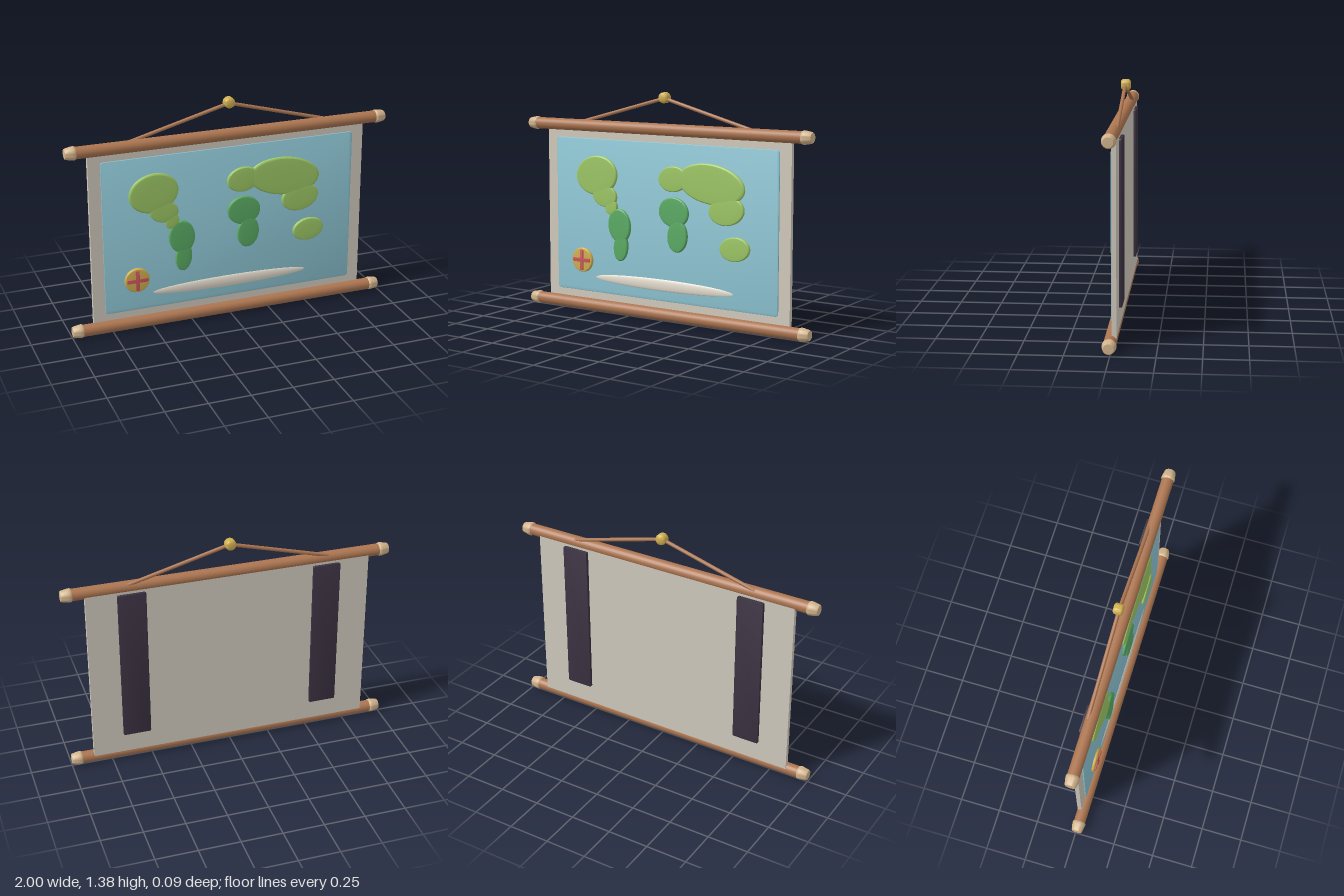
import * as THREE from 'three';
import { toCreasedNormals } from 'three/addons/utils/BufferGeometryUtils.js';

const paint = (name, color) => Object.assign(new THREE.MeshStandardMaterial({ color }), { name });

export function createModel() {
  const wood = paint('brown wood', 0xac7550);
  const pale = paint('pale wood', 0xd2b48c);
  const paper = paint('paper', 0xd0c9bc);
  const sea = paint('sea blue', 0x8cc4d2);
  const lime = paint('light green', 0x9cc765);
  const green = paint('deep green', 0x5bab64);
  const gold = paint('gold', 0xd1b050);
  const red = paint('red', 0xc9565a);
  const dark = paint('dark strap', 0x3a3140);
  const cream = paint('cream', 0xe6ded0);

  const model = new THREE.Group();
  model.name = 'wallMap';
  const add = (name, geometry, material, x = 0, y = 0, z = 0) => {
    const mesh = new THREE.Mesh(geometry, material);
    mesh.name = name;
    mesh.position.set(x, y, z);
    model.add(mesh);
    return mesh;
  };

  // Rounded plate with a small bevel, spanning 0..d in z
  const plate = (w, h, d, r, bevel) => {
    const a = w / 2 - bevel, b = h / 2 - bevel;
    const s = new THREE.Shape();
    s.moveTo(-a + r, -b).lineTo(a - r, -b).quadraticCurveTo(a, -b, a, -b + r);
    s.lineTo(a, b - r).quadraticCurveTo(a, b, a - r, b);
    s.lineTo(-a + r, b).quadraticCurveTo(-a, b, -a, b - r);
    s.lineTo(-a, -b + r).quadraticCurveTo(-a, -b, -a + r, -b);
    const g = new THREE.ExtrudeGeometry(s, {
      depth: d - 2 * bevel, bevelSize: bevel, bevelThickness: bevel, bevelSegments: 2, curveSegments: 6,
    });
    return toCreasedNormals(g.translate(0, 0, bevel), 0.6);
  };

  // Backing sheet, sea panel and rear straps
  add('sheet', new THREE.BoxGeometry(1.73, 1.12, 0.026), paper, 0, 0.604, -0.013);
  add('seaPanel', plate(1.584, 0.962, 0.01, 0.018, 0.003), sea, 0, 0.604, 0);
  for (const s of [-1, 1]) add('rearStrap', plate(0.17, 0.955, 0.019, 0.006, 0.004), dark, s * 0.595, 0.658, -0.044);

  // Rods with tapered end caps
  const capProfile = [[0, -0.004], [0.034, -0.004], [0.039, 0], [0.041, 0.006], [0.04, 0.018], [0.033, 0.055], [0.029, 0.061], [0, 0.062]]
    .map(([r, y]) => new THREE.Vector2(r, y));
  const cap = toCreasedNormals(new THREE.LatheGeometry(capProfile, 28), 0.7);
  const rod = new THREE.CylinderGeometry(0.036, 0.036, 1.88, 28).rotateZ(Math.PI / 2);
  for (const y of [0.041, 1.164]) {
    add('rod', rod, wood, 0, y, 0.007);
    for (const s of [-1, 1]) add('endCap', cap, pale, s * 0.938, y, 0.007).rotation.z = -s * Math.PI / 2;
  }

  // Land masses: gently domed discs [x, y, rx, ry, tilt, material]
  const discProfile = [[1, 0], [1, 0.6], [0.98, 0.78], [0.93, 0.9], [0.8, 0.96], [0.4, 0.99], [0, 1]]
    .map(([r, y]) => new THREE.Vector2(r, y));
  const disc = toCreasedNormals(new THREE.LatheGeometry(discProfile, 40).rotateX(Math.PI / 2), 0.6);
  const lands = [
    [-0.48, 0.86, 0.152, 0.121, 0.15, lime], [-0.42, 0.738, 0.09, 0.07, -0.2, lime],
    [-0.37, 0.67, 0.043, 0.049, -0.3, lime], [-0.31, 0.56, 0.081, 0.104, 0.1, green],
    [-0.3, 0.428, 0.051, 0.088, -0.1, green], [0.08, 0.873, 0.102, 0.077, 0.1, lime],
    [0.345, 0.86, 0.228, 0.119, -0.12, lime], [0.45, 0.71, 0.12, 0.086, 0.15, lime],
    [0.085, 0.674, 0.104, 0.09, -0.1, green], [0.112, 0.53, 0.069, 0.097, -0.08, green],
    [0.508, 0.49, 0.101, 0.072, 0.1, lime],
  ];
  lands.forEach(([x, y, rx, ry, tilt, mat], i) => {
    const land = add('landMass', disc, mat, x, y, 0.007);
    land.scale.set(rx, ry, 0.022 - (i % 3) * 0.0006);
    land.rotation.z = tilt;
  });

  // Southern ice strip
  add('iceStrip', new THREE.SphereGeometry(1, 48, 20), cream, 0, 0.22, 0.008).scale.set(0.505, 0.037, 0.011);

  // Compass disc with a red cross
  add('compassDisc', disc, gold, -0.594, 0.32, 0.007).scale.set(0.077, 0.077, 0.021);
  add('compassBar', plate(0.13, 0.024, 0.009, 0.004, 0.003), red, -0.594, 0.32, 0.0245);
  add('compassBar', plate(0.024, 0.13, 0.009, 0.004, 0.003), red, -0.594, 0.32, 0.0245);

  // Hanging cord and its knob
  for (const s of [-1, 1]) {
    const path = new THREE.LineCurve3(new THREE.Vector3(s * 0.61, 1.184, -0.011), new THREE.Vector3(0, 1.348, -0.011));
    add('cord', new THREE.TubeGeometry(path, 1, 0.011, 12), wood);
  }
  const knobProfile = [[0, -0.028], [0.022, -0.028], [0.03, -0.023], [0.033, -0.015], [0.033, 0.015], [0.03, 0.023], [0.022, 0.028], [0, 0.028]]
    .map(([r, y]) => new THREE.Vector2(r, y));
  add('knob', toCreasedNormals(new THREE.LatheGeometry(knobProfile, 24).rotateX(Math.PI / 2), 0.7), gold, 0, 1.352, -0.015);

  return model;
}
